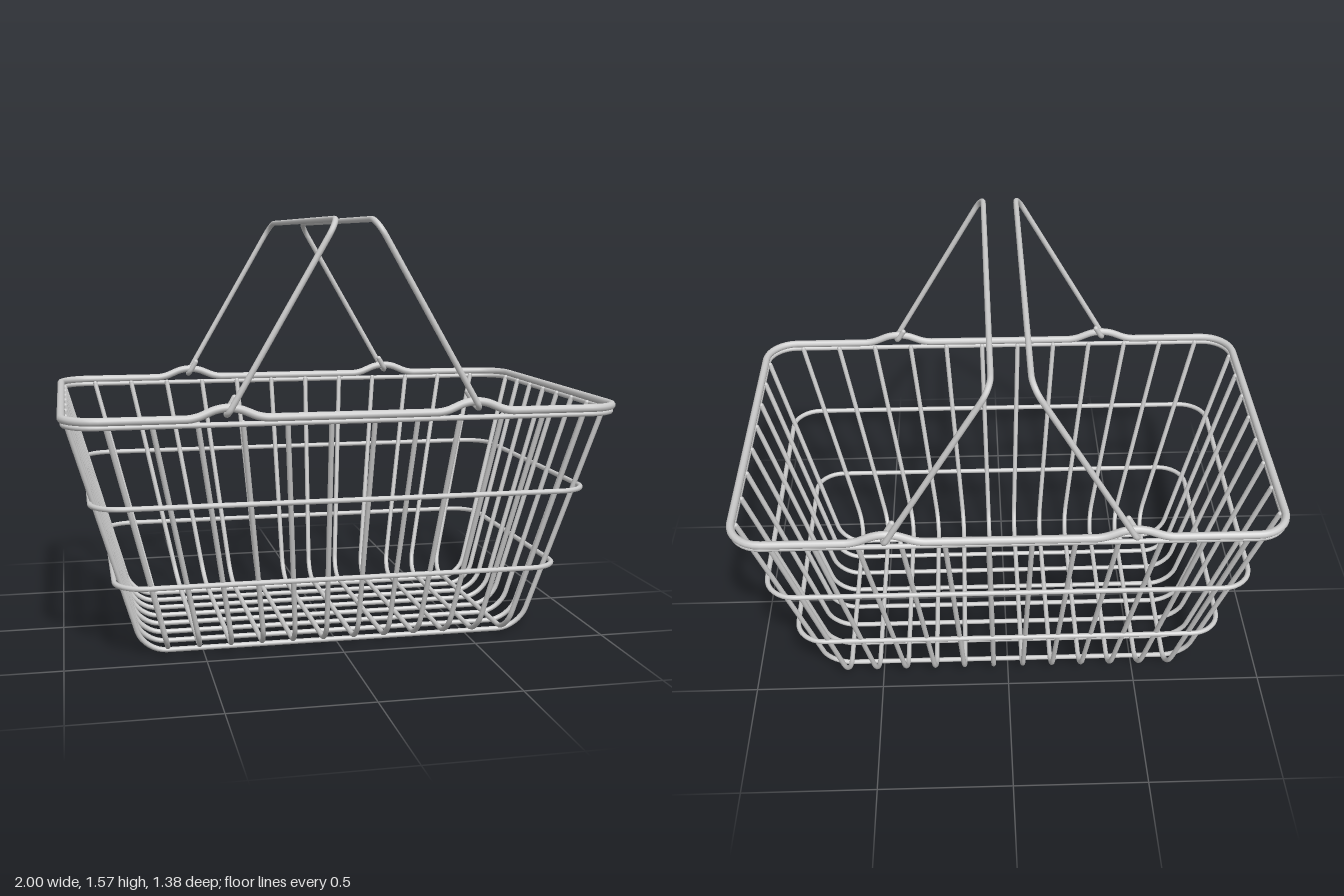
import * as THREE from 'three';

const V = (x, y, z) => new THREE.Vector3(x, y, z);

// Curve that passes straight through its sample points
class WirePath extends THREE.Curve {
  constructor(points, closed) {
    super();
    this.points = points;
    this.closed = closed;
    this.spans = closed ? points.length : points.length - 1;
  }
  at(i) {
    const n = this.points.length;
    return this.points[this.closed ? (i + n) % n : Math.min(Math.max(i, 0), n - 1)];
  }
  getPoint(t, target = V(0, 0, 0)) {
    const i = Math.min(Math.floor(t * this.spans + 1e-6), this.spans);
    return target.lerpVectors(this.at(i), this.at(i + 1), Math.max(0, t * this.spans - i));
  }
  getPointAt(u, target) { return this.getPoint(u, target); }
  getTangentAt(u, target = V(0, 0, 0)) {
    const i = Math.round(u * this.spans), p = this.at(i);
    const a = p.clone().sub(this.at(i - 1)).normalize();
    const b = this.at(i + 1).clone().sub(p).normalize();
    return target.copy(a.add(b)).normalize();
  }
}

// Rounds every corner [point, bend] of a polyline
function bendCorners(corners, closed) {
  const out = [], n = corners.length;
  corners.forEach(([p, bend], i) => {
    if (!bend || (!closed && (i === 0 || i === n - 1))) return out.push(p);
    const towards = (q) => q.clone().sub(p).normalize();
    const a = towards(corners[(i + n - 1) % n][0]), b = towards(corners[(i + 1) % n][0]);
    const on = (d, k) => p.clone().addScaledVector(d, bend * k);
    const arc = new THREE.CubicBezierCurve3(on(a, 1), on(a, 0.45), on(b, 0.45), on(b, 1));
    out.push(...arc.getPoints(8));
  });
  return out;
}

export function createModel() {
  const basket = new THREE.Group();
  basket.name = 'wireBasket';
  const material = new THREE.MeshStandardMaterial({ color: 0xcccccc });

  function wire(name, corners, radius, closed = false) {
    const points = bendCorners(corners, closed);
    const path = new WirePath(points, closed);
    const group = new THREE.Group();
    group.name = name;
    group.add(new THREE.Mesh(new THREE.TubeGeometry(path, path.spans, radius, 10, closed), material));
    // Rounded wire ends
    if (!closed) {
      for (const p of [points[0], points[points.length - 1]]) {
        const end = new THREE.Mesh(new THREE.SphereGeometry(radius, 10, 6), material);
        end.position.copy(p);
        group.add(end);
      }
    }
    basket.add(group);
  }

  // Horizontal hoops: lower rim and two around the sides
  for (const [name, y, x, z] of [
    ['lowerRim', 0.874, 0.98, 0.645],
    ['upperHoop', 0.585, 0.896, 0.588],
    ['lowerHoop', 0.285, 0.817, 0.521],
  ]) {
    const corners = [[x, z], [x, -z], [-x, -z], [-x, z]].map(([cx, cz]) => [V(cx, y, cz), 0.11]);
    wire(name, corners, 0.0095, true);
  }

  // Thick top rim, with raised humps that hold the handles
  const rimX = 0.985, rimZ = 0.649, rimY = 0.895;
  const humps = [[0.55, 0], [0.465, 0.036], [0.405, 0.036], [0.32, 0]];
  const rim = [];
  for (const side of [1, -1]) {
    rim.push([V(side * rimX, rimY, side * rimZ), 0.12]);
    const run = [...humps, ...humps.map(([x, h]) => [-x, h]).reverse()];
    for (const [x, h] of run) rim.push([V(side * x, rimY + h, side * rimZ), 0.028]);
    rim.push([V(-side * rimX, rimY, side * rimZ), 0.12]);
  }
  wire('topRim', rim, 0.0145, true);

  // Lengthwise ribs: down one end, along the floor, up the other end
  for (let i = 0; i < 8; i++) {
    const z = (i - 3.5) * 0.106, top = (i - 3.5) * 0.148;
    wire('lengthwiseRib', [
      [V(-0.97, 0.877, top), 0], [V(-0.715, 0.011, z), 0.085],
      [V(0.715, 0.011, z), 0.085], [V(0.97, 0.877, top), 0],
    ], 0.0095);
  }

  // Crosswise ribs, resting on the lengthwise ones
  for (let i = 0; i < 12; i++) {
    const x = (i - 5.5) * 0.1145, top = (i - 5.5) * 0.153;
    wire('crosswiseRib', [
      [V(top, 0.877, -0.636), 0], [V(x, 0.029, -0.46), 0.085],
      [V(x, 0.029, 0.46), 0.085], [V(top, 0.877, 0.636), 0],
    ], 0.0095);
  }

  // Two leaning handles whose ends hook under the rim humps
  for (const side of [1, -1]) {
    const profile = [[0.625, 0.962, 0], [0.63, 0.909, 0.025], [0.681, 0.909, 0.025], [0.681, 1.557, 0.065]];
    const half = (s) => profile.map(([z, y, bend]) =>
      [V(side * (0.437 - (y - 0.915) * 0.58), y, s * z), bend]);
    wire(side > 0 ? 'leftHandle' : 'rightHandle', [...half(1), ...half(-1).reverse()], 0.0105);
  }

  return basket;
}
